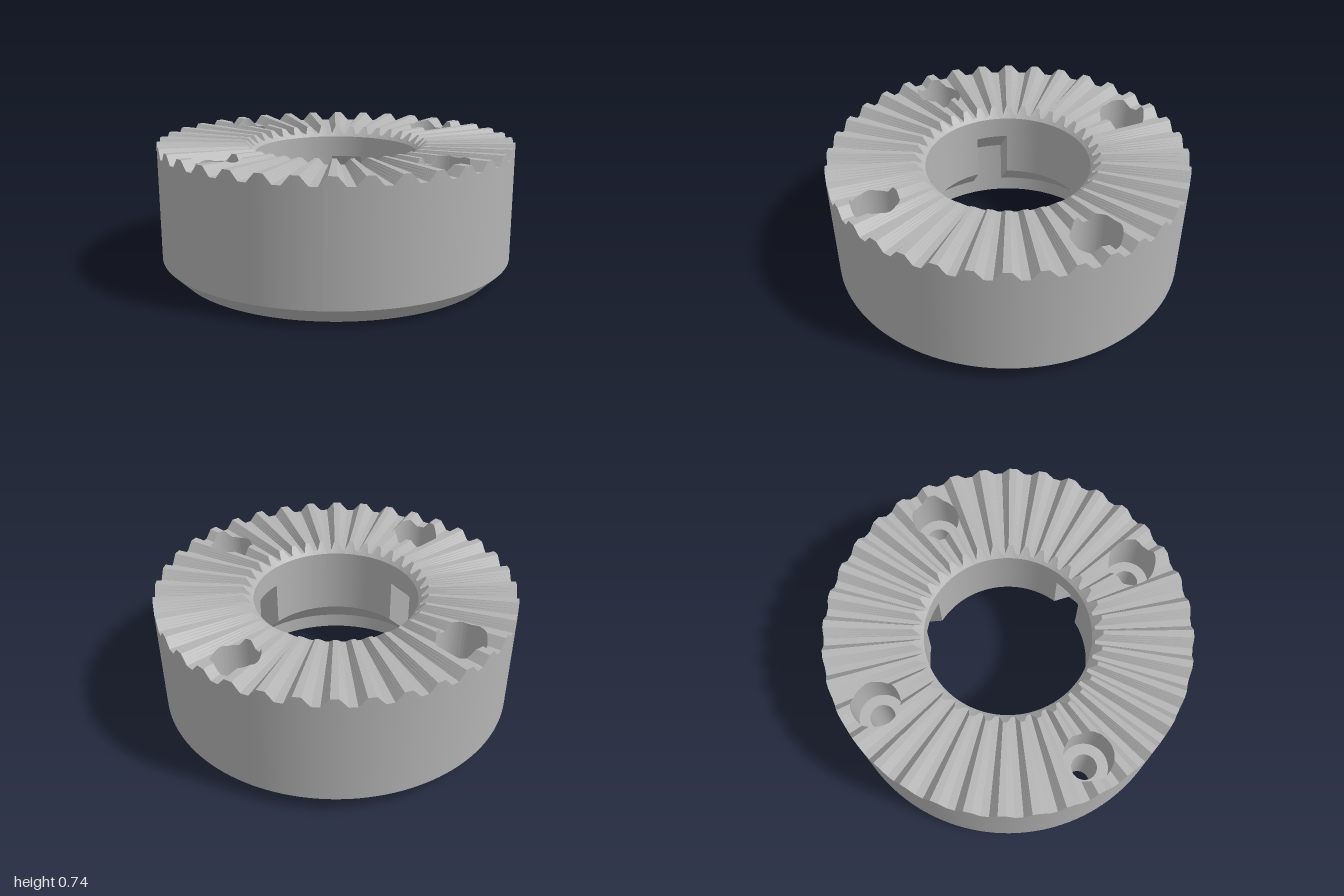
import * as THREE from 'three';

const RAD = Math.PI / 180;
const OUTER = 1, BORE = 0.46, RECESS = 0.65;           // main radii
const RIM = 0.665, VALLEY = 0.69, LEDGE = 0.45;        // bore rim, tooth valley, counterbore floor heights
const TEETH = 36;
const BOLT_D = 0.806, BOLT_R = 0.07, BORE_R = 0.13;    // bolt circle, hole and counterbore radii
const SLOT_HALF = 0.092, SLOT_AZ = [55, 175, 295];     // drive slots

// point at radius r, azimuth az (radians, from +z towards +x)
const polar = (r, az, y) => new THREE.Vector3(r * Math.sin(az), y, r * Math.cos(az));

// smooth grid surface from a function of u, v in 0..1
function patch(f, nu, nv = 1) {
  const pos = [], idx = [];
  for (let i = 0; i <= nu; i++)
    for (let j = 0; j <= nv; j++) pos.push(...f(i / nu, j / nv).toArray());
  for (let i = 0; i < nu; i++)
    for (let j = 0; j < nv; j++) {
      const a = i * (nv + 1) + j, b = a + nv + 1;
      idx.push(a, b, b + 1, a, b + 1, a + 1);
    }
  const g = new THREE.BufferGeometry();
  g.setAttribute('position', new THREE.Float32BufferAttribute(pos, 3));
  g.setIndex(idx);
  g.computeVertexNormals();
  return g;
}

// trapezoid tooth wave, 0 in the valley and 1 on the ridge
function tooth(deg) {
  const u = ((((deg - 90) * TEETH) / 360 + 0.25) % 1 + 1) % 1;
  return THREE.MathUtils.clamp(0.5 + 4 * (0.25 - Math.abs(u - 0.5)), 0, 1);
}

// toothed top ring, opened by the counterbores, whose walls follow the teeth
function toothGeometries() {
  const half = Math.asin(BORE_R / BOLT_D) / RAD;
  const angles = [];
  for (let i = 0; i <= 576; i++) angles.push(i * 0.625);
  for (const c of [45, 135, 225, 315])
    for (const k of [1, 0.995, 0.98, 0.95]) angles.push(c - half * k, c + half * k);
  angles.sort((a, b) => a - b);

  // radial section of the ring at one angle
  const section = (deg) => {
    const p = tooth(deg), az = deg * RAD;
    const ri = 0.475 + 0.04 * p, yi = 0.682 + 0.04 * p, yo = VALLEY + 0.05 * p;
    const top = (r) => polar(r, az, yi + ((yo - yi) * (r - ri)) / (OUTER - ri));
    const d = ((deg % 90) - 45) * RAD;
    const root = Math.sqrt(Math.max(0, BORE_R ** 2 - (BOLT_D * Math.sin(d)) ** 2));
    const mid = BOLT_D * Math.cos(d);
    const near = top(mid - root), far = top(mid + root);
    return {
      rim: polar(BORE, az, RIM), inner: top(ri), outer: top(OUTER), base: polar(OUTER, az, VALLEY),
      near, far, nearLow: near.clone().setY(LEDGE), farLow: far.clone().setY(LEDGE),
    };
  };

  const teeth = [], walls = [];
  const quad = (out, a, b, c, d) => {
    for (const v of [a, b, c, a, c, d]) out.push(v.x, v.y, v.z);
  };
  for (let i = 0; i + 1 < angles.length; i++) {
    if (angles[i + 1] - angles[i] < 1e-6) continue;
    const s = section(angles[i]), e = section(angles[i + 1]);
    const m = (angles[i] + angles[i + 1]) / 2;
    quad(teeth, s.rim, s.inner, e.inner, e.rim);
    quad(teeth, s.outer, s.base, e.base, e.outer);
    if (Math.abs((m % 90) - 45) < half) {
      quad(teeth, s.inner, s.near, e.near, e.inner);
      quad(teeth, s.far, s.outer, e.outer, e.far);
      quad(walls, s.near, s.nearLow, e.nearLow, e.near);
      quad(walls, e.far, e.farLow, s.farLow, s.far);
    } else quad(teeth, s.inner, s.outer, e.outer, e.inner);
  }
  return [teeth, walls].map((p) => {
    const g = new THREE.BufferGeometry();
    g.setAttribute('position', new THREE.Float32BufferAttribute(p, 3));
    g.computeVertexNormals();
    return g;
  });
}

export function createModel() {
  const group = new THREE.Group();
  const steel = new THREE.MeshStandardMaterial({ color: 0xb4b4b4, side: THREE.DoubleSide });
  steel.name = 'steel';
  const add = (name, geo) => {
    const m = new THREE.Mesh(geo, steel);
    m.name = name;
    group.add(m);
    return m;
  };
  // full turn band between two radius/height pairs
  const band = (name, r0, y0, r1, y1) =>
    add(name, patch((u, v) => polar(r0 + (r1 - r0) * v, -u * 2 * Math.PI, y0 + (y1 - y0) * v), 144));

  // outside
  band('outerWall', OUTER, VALLEY, OUTER, 0.09);
  band('bottomChamfer', OUTER, 0.09, 0.91, 0);
  const [teeth, walls] = toothGeometries();
  add('cuttingTeeth', teeth);
  add('counterboreWalls', walls);

  // underside with four bolt holes
  const face = new THREE.Shape().absarc(0, 0, 0.91, 0, Math.PI * 2);
  face.holes.push(new THREE.Path().absarc(0, 0, RECESS, 0, Math.PI * 2, true));
  for (let i = 0; i < 4; i++) {
    const az = (45 + 90 * i) * RAD, c = polar(BOLT_D, az, 0);
    face.holes.push(new THREE.Path().absarc(c.x, c.z, BOLT_R, 0, Math.PI * 2, true));
    const hole = add('boltHole', new THREE.CylinderGeometry(BOLT_R, BOLT_R, LEDGE, 32, 1, true));
    // turn the wall inward
    hole.geometry.scale(-1, 1, 1);
    hole.geometry.computeVertexNormals();
    hole.position.set(c.x, LEDGE / 2, c.z);
    const ledge = add('counterboreLedge', new THREE.RingGeometry(BOLT_R, BORE_R, 40).rotateX(-Math.PI / 2));
    ledge.position.set(c.x, LEDGE, c.z);
  }
  add('underside', new THREE.ShapeGeometry(face, 72).rotateX(Math.PI / 2));

  // inside: recess lip, flared cone and bore, interrupted by three slots
  const coneTop = 0.28, slotTop = 0.54, rise = RECESS - BORE;
  band('recessLip', RECESS, 0, RECESS, 0.09);
  band('upperBore', BORE, slotTop, BORE, RIM);
  const edge = (r) => Math.asin(SLOT_HALF / r);
  for (const deg of SLOT_AZ) {
    const az = deg * RAD;
    const between = (r, u) => az + edge(r) + u * ((Math.PI * 2) / 3 - 2 * edge(r));
    const across = (r, u) => az + edge(r) * (2 * u - 1);
    add('lowerBore', patch((u, v) => polar(BORE, between(BORE, 1 - u), coneTop + v * (slotTop - coneTop)), 48));
    add('flaredCone', patch((u, v) => {
      const r = RECESS - rise * v;
      return polar(r, between(r, 1 - u), 0.09 + (coneTop - 0.09) * v);
    }, 48, 4));
    add('slotCeiling', patch((u, v) => {
      const r = RECESS - rise * v;
      return polar(r, across(r, 1 - u), slotTop - rise * (1 - v));
    }, 8, 2));
    add('slotBack', patch((u, v) => polar(RECESS, across(RECESS, 1 - u), 0.09 + v * (slotTop - rise - 0.09)), 8));
    for (const side of [0, 1])
      add('slotSide', patch((u, v) => {
        const t = side ? u : 1 - u, r = BORE + rise * t;
        return polar(r, across(r, side), coneTop - rise * t + v * (slotTop - coneTop));
      }, 4));
  }
  return group;
}
